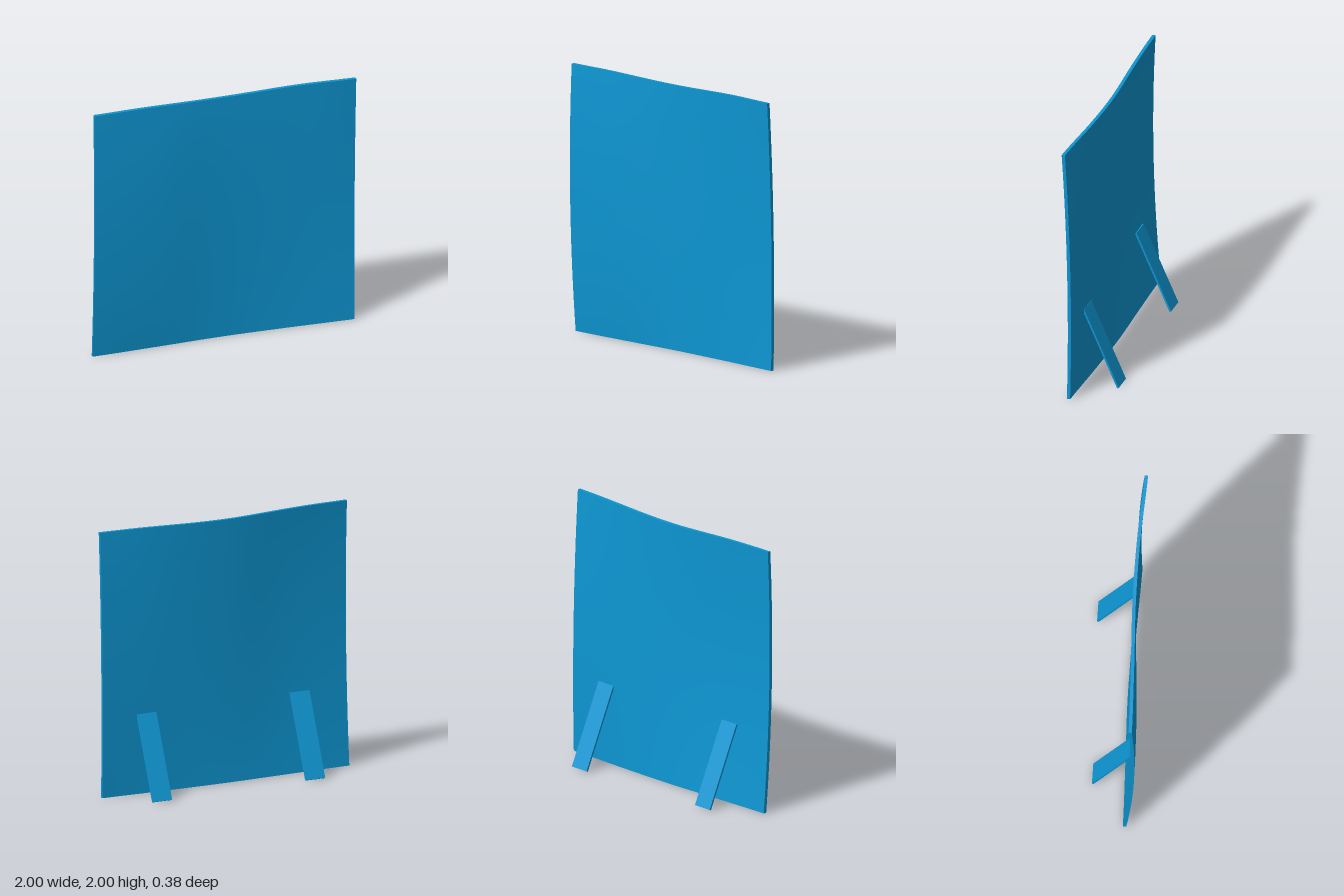
import * as THREE from 'three';

const material = new THREE.MeshStandardMaterial({ color: 0x0d96d2 });
const THICKNESS = 0.025;

// Depth of the front face along x, at the bottom, middle and top of the panel
const curve = (depths) =>
  new THREE.SplineCurve(depths.map((z, i) => new THREE.Vector2(-1 + i * 0.5, z)));
const bottom = curve([0.129, 0.114, 0.097, 0.101, 0.113]);
const middle = curve([0.186, 0.169, 0.128, 0.112, 0.111]);
const top = curve([0.17, 0.153, 0.131, 0.131, 0.154]);

function frontDepth(x, y) {
  const t = (x + 1) / 2;
  const [a, b, c] = [bottom, middle, top].map((s) => s.getPoint(t).y);
  const v = y - 1;
  return b + ((c - a) / 2) * v + ((a + c) / 2 - b) * v * v;
}

// Gently warped sheet with a shallow dip in its top edge
function createPanel() {
  const geometry = new THREE.BoxGeometry(2, 2, THICKNESS, 24, 24, 1);
  const p = geometry.attributes.position;
  for (let i = 0; i < p.count; i++) {
    const x = p.getX(i);
    const h = (p.getY(i) + 1) / 2;
    const dip = 0.015 * Math.cos(Math.min(Math.abs(x) / 0.75, 1) * Math.PI / 2) ** 2;
    const y = h * (2 - dip);
    const z = frontDepth(x, y) - (p.getZ(i) > 0 ? 0 : THICKNESS);
    p.setXYZ(i, x, y, z);
  }
  geometry.computeVertexNormals();
  const panel = new THREE.Mesh(geometry, material);
  panel.name = 'panel';
  return panel;
}

// Flat prop leaning up against the back of the panel
function createLeg(name, x, footZ) {
  const length = 0.655;
  const tilt = 0.422;
  const geometry = new THREE.BoxGeometry(0.156, length, 0.014);
  geometry.translate(0, length / 2, 0);
  const leg = new THREE.Mesh(geometry, material);
  leg.name = name;
  leg.rotation.x = tilt;
  leg.position.set(x, 0.005, footZ);
  return leg;
}

export function createModel() {
  const model = new THREE.Group();
  model.name = 'standingPanel';
  model.add(
    createPanel(),
    createLeg('leftLeg', 0.648, -0.184),
    createLeg('rightLeg', -0.61, -0.137)
  );
  return model;
}
